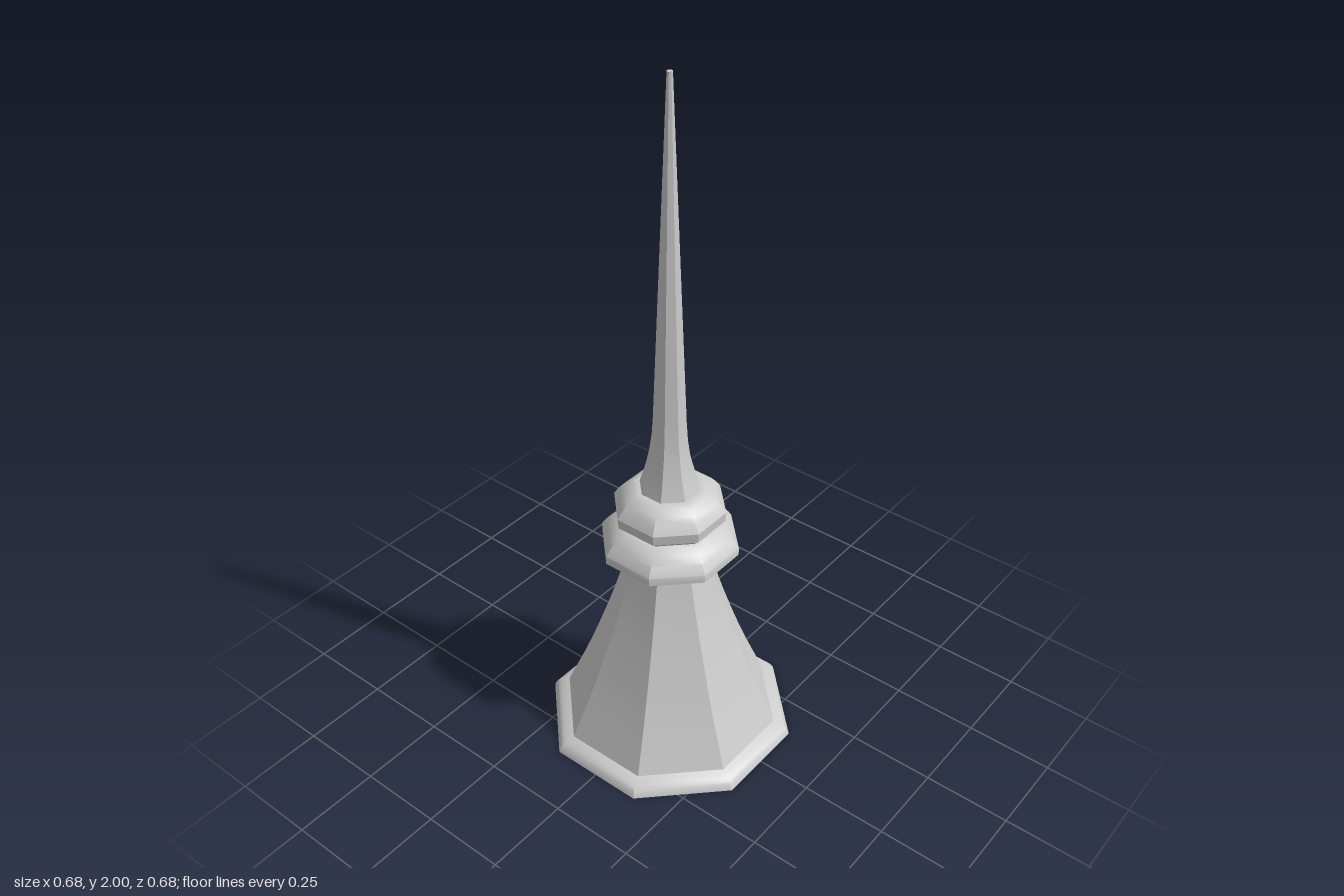
import * as THREE from 'three';
import { toCreasedNormals } from 'three/addons/utils/BufferGeometryUtils.js';

const SIDES = 8;
const material = new THREE.MeshStandardMaterial({ color: 0xcccccc });

// Octagonal turned part: profile gives [distance to flat, height], bottom to top.
function turned(name, profile) {
  const toCorner = 1 / Math.cos(Math.PI / SIDES);
  const points = profile.map(([r, y]) => new THREE.Vector2(r * toCorner, y));
  const lathe = new THREE.LatheGeometry(points, SIDES, Math.PI / SIDES);
  const mesh = new THREE.Mesh(toCreasedNormals(lathe, 0.6), material);
  mesh.name = name;
  return mesh;
}

// Smooth run of profile points through a few guides.
function sweep(guides, steps) {
  const curve = new THREE.SplineCurve(guides.map(([r, y]) => new THREE.Vector2(r, y)));
  return curve.getPoints(steps).map((p) => [p.x, p.y]);
}

export function createModel() {
  const model = new THREE.Group();
  model.name = 'spireRoof';

  // Rounded eaves with a closed underside
  model.add(turned('eaves', [
    [0, 0], [0.34, 0], ...sweep([[0.338, 0.006], [0.325, 0.025], [0.295, 0.04]], 5),
  ]));

  // Flared roof
  model.add(turned('roof', sweep(
    [[0.295, 0.04], [0.232, 0.2], [0.181, 0.35], [0.143, 0.475], [0.113, 0.595]], 10)));

  // Lower collar: bevelled below, rounded above
  model.add(turned('lowerCollar', [
    [0.08, 0.59], [0.113, 0.59], [0.182, 0.645], [0.182, 0.668],
    ...sweep([[0.181, 0.67], [0.168, 0.69], [0.145, 0.715], [0.118, 0.73]], 5), [0.07, 0.73],
  ]));

  // Upper collar
  model.add(turned('upperCollar', [
    [0.07, 0.728], [0.118, 0.728], [0.145, 0.753], [0.147, 0.782],
    ...sweep([[0.144, 0.787], [0.125, 0.815], [0.1, 0.835], [0.086, 0.84]], 5), [0.05, 0.84],
  ]));

  // Spire with a flared foot and a small flat tip
  model.add(turned('spire', [
    ...sweep([[0.08, 0.835], [0.06, 0.91], [0.046, 1.0], [0.041, 1.1]], 6),
    [0.007, 2], [0, 2],
  ]));

  return model;
}
